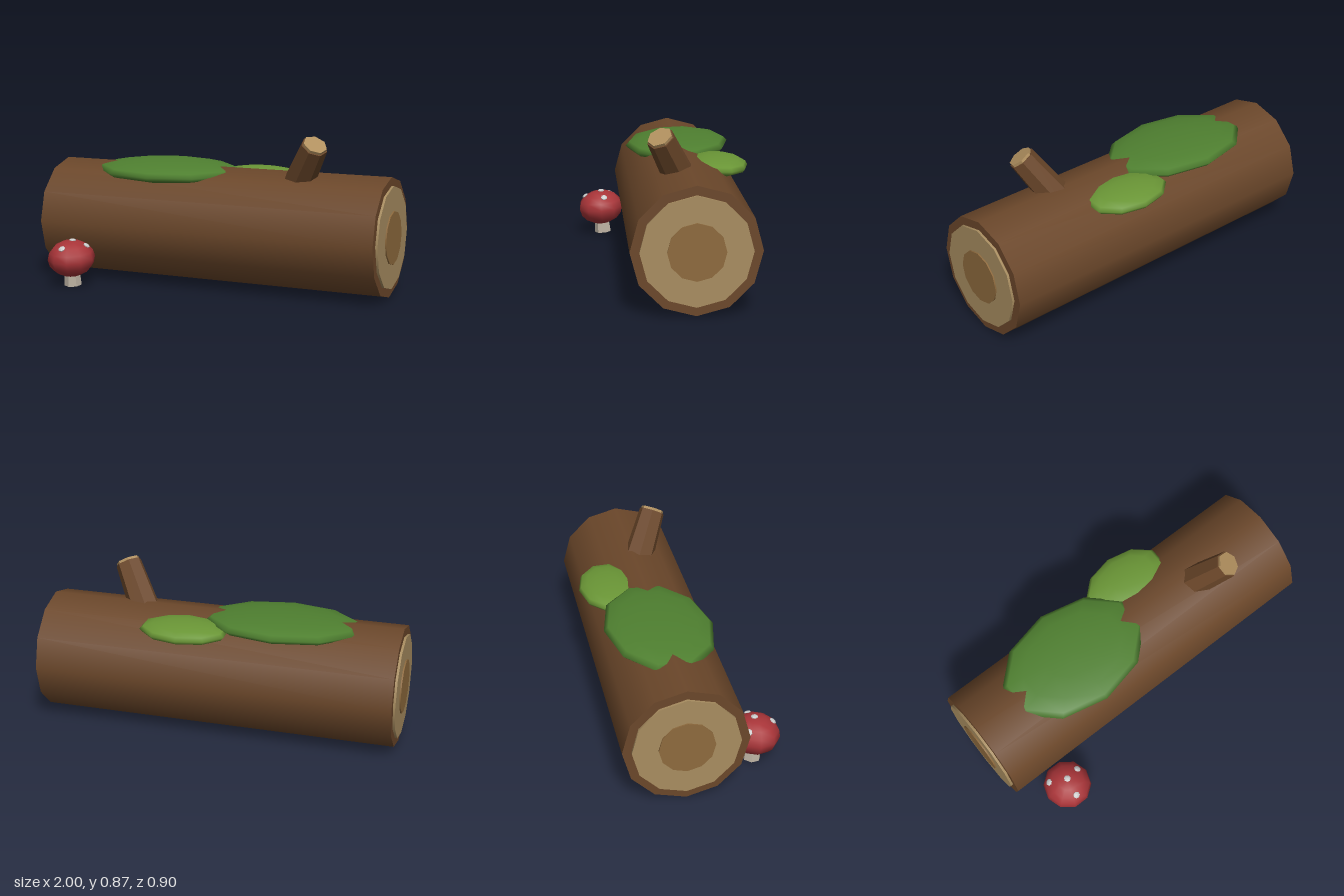
import * as THREE from 'three';

const paint = (color, flatShading = false) => new THREE.MeshStandardMaterial({ color, flatShading });

export function createModel() {
  const model = new THREE.Group();
  const bark = 0x6b472a, tan = 0xa88d60;

  function add(name, geometry, material, position, parent = model) {
    const mesh = new THREE.Mesh(geometry, material);
    mesh.name = name;
    mesh.position.set(...position);
    parent.add(mesh);
    return mesh;
  }

  // Log lying along x: bark, cut wood and heartwood, each a little longer than the last
  const layers = [
    ['logBark', 0.327, 1.96, bark],
    ['cutWood', 0.28, 1.985, tan],
    ['heartwood', 0.146, 2, 0x8e6a3d],
  ];
  for (const [name, radius, length, color] of layers) {
    const geometry = new THREE.CylinderGeometry(radius, radius, length, 12).rotateZ(Math.PI / 2);
    add(name, geometry, paint(color), [0, 0.333, -0.105]);
  }

  // Broken branch leaning up, out and forward, with a pale cut end
  const branch = new THREE.Group();
  branch.name = 'branch';
  branch.position.set(0.435, 0.54, -0.09);
  branch.quaternion.setFromUnitVectors(
    new THREE.Vector3(0, 1, 0), new THREE.Vector3(0.58, 1, 0.48).normalize());
  model.add(branch);
  add('branchBark', new THREE.CylinderGeometry(0.073, 0.09, 0.35, 7), paint(bark, true), [0, 0.175, 0], branch);
  add('branchCut', new THREE.CylinderGeometry(0.066, 0.066, 0.02, 7), paint(0xb08f5e, true), [0, 0.355, 0], branch);

  // Flattened moss patches
  function moss(name, color, position, size, tilt, turn) {
    const geometry = new THREE.SphereGeometry(1, 10, 8).rotateY(turn).scale(...size);
    add(name, geometry, paint(color), position).rotation.x = tilt;
  }
  moss('largeMoss', 0x4f8030, [-0.33, 0.625, -0.11], [0.432, 0.058, 0.292], 0.045, Math.PI / 2);
  moss('smallMoss', 0x6a9636, [0.17, 0.601, -0.295], [0.245, 0.05, 0.16], -0.03, Math.PI / 2);

  // Mushroom: tilted cap, short stem and flat spots
  const mushroom = new THREE.Group();
  mushroom.name = 'mushroom';
  mushroom.position.set(-0.73, 0.002, 0.304);
  mushroom.rotation.x = 0.09;
  model.add(mushroom);
  add('stem', new THREE.CylinderGeometry(0.04, 0.05, 0.12, 7), paint(0xbdb2a2, true), [0, 0.062, 0], mushroom);
  const cap = new THREE.Group();
  cap.name = 'cap';
  cap.position.set(0, 0.157, 0);
  mushroom.add(cap);
  add('capDome', new THREE.SphereGeometry(1, 10, 8).scale(0.132, 0.102, 0.134), paint(0xa83438), [0, 0, 0], cap);

  // Each spot sits on the dome and follows its slope
  const spots = [[-0.08, -0.062], [0.008, -0.012], [0.088, -0.025], [-0.005, 0.088]];
  for (const [x, z] of spots) {
    const y = 0.102 * Math.sqrt(1 - (x / 0.132) ** 2 - (z / 0.134) ** 2);
    const spot = add('capSpot', new THREE.SphereGeometry(0.02, 7, 5).scale(1, 0.4, 1),
      paint(0xc4c4c0, true), [x, y, z], cap);
    const normal = new THREE.Vector3(x / 0.132 ** 2, y / 0.102 ** 2, z / 0.134 ** 2).normalize();
    spot.quaternion.setFromUnitVectors(new THREE.Vector3(0, 1, 0), normal);
  }

  return model;
}
